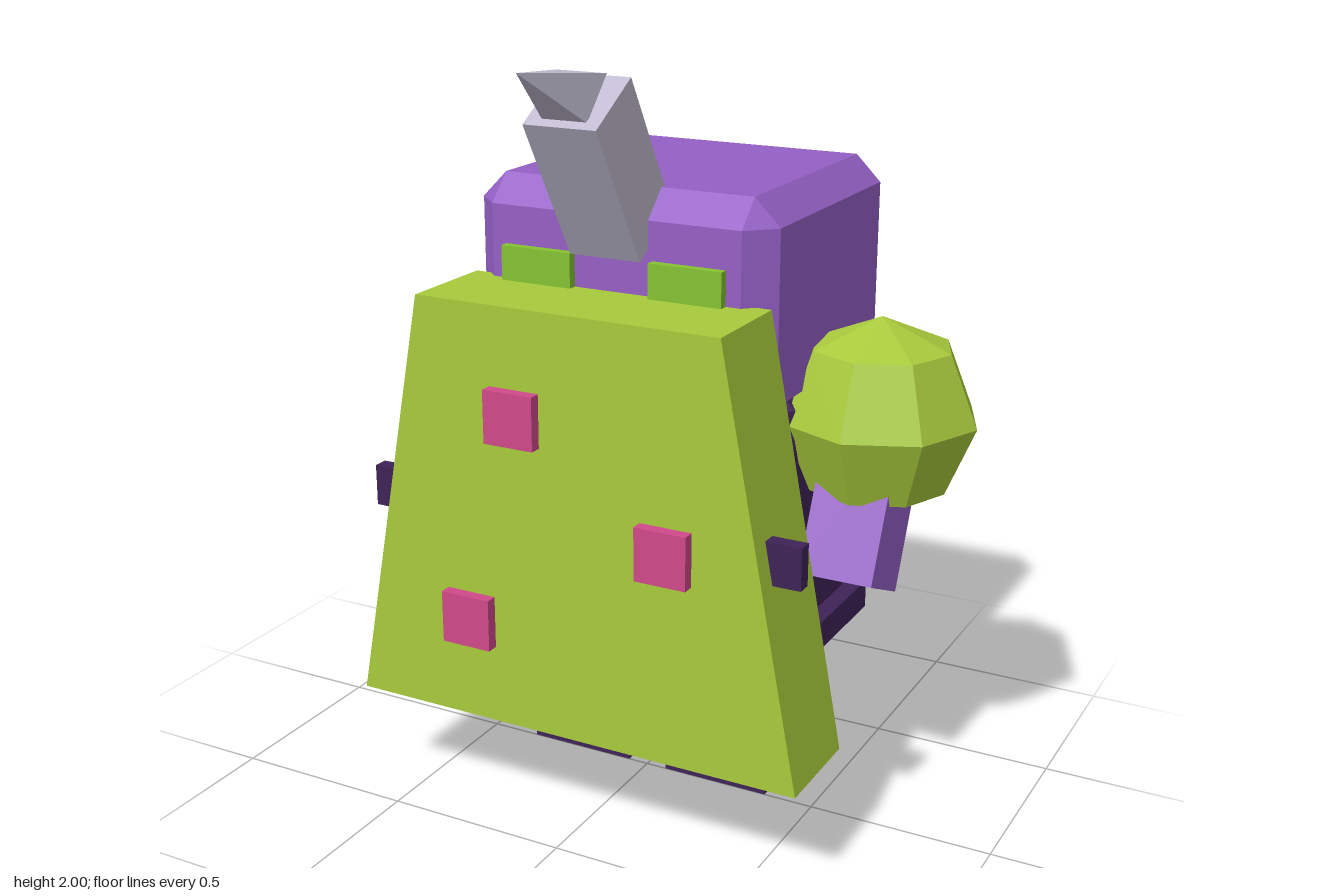
import * as THREE from 'three';

const flat = (name, color) => Object.assign(new THREE.MeshStandardMaterial({ color }), { name });

// Triangles from convex polygons, each turned to face away from the centre
function solid(polygons, centre) {
  const pos = [];
  const n = new THREE.Vector3(), e = new THREE.Vector3();
  for (let p of polygons) {
    n.subVectors(p[1], p[0]).cross(e.subVectors(p[2], p[0]));
    if (n.dot(e.subVectors(p[0], centre)) < 0) p = [...p].reverse();
    for (let i = 1; i < p.length - 1; i++)
      for (const v of [p[0], p[i], p[i + 1]]) pos.push(v.x, v.y, v.z);
  }
  const g = new THREE.BufferGeometry();
  g.setAttribute('position', new THREE.Float32BufferAttribute(pos, 3));
  g.computeVertexNormals();
  return g;
}

// Box with cut edges and corners; openBottom leaves out the underside
function chamferedBox(min, max, c, openBottom) {
  const lo = new THREE.Vector3(...min), hi = new THREE.Vector3(...max);
  const centre = lo.clone().add(hi).multiplyScalar(0.5);
  const half = hi.clone().sub(lo).multiplyScalar(0.5);
  // corner s (three signs), on the face across the given axis
  const at = (s, axis) => new THREE.Vector3(...[0, 1, 2].map(i =>
    centre.getComponent(i) + s[i] * (half.getComponent(i) - (i === axis ? 0 : c))));
  const polys = [];
  for (let a = 0; a < 3; a++) {
    const b = (a + 1) % 3, d = (a + 2) % 3;
    const sign = (x, y, z) => { const s = []; s[a] = x; s[b] = y; s[d] = z; return s; };
    for (const s of [-1, 1]) {
      if (!(openBottom && a === 1 && s < 0))
        polys.push([[-1, -1], [1, -1], [1, 1], [-1, 1]].map(([u, v]) => at(sign(s, u, v), a)));
      for (const t of [-1, 1]) {
        const sideBottom = (a === 0 && t < 0) && openBottom;
        if (!sideBottom) {
          const p = sign(s, t, -1), q = sign(s, t, 1);
          polys.push([at(p, a), at(q, a), at(q, b), at(p, b)]);
        }
        if (a === 0) for (const u of [-1, 1])
          polys.push([0, 1, 2].map(k => at([s, t, u], k)));
      }
    }
  }
  return solid(polys, centre);
}

// Rectangular frame, open up and down
function frame(w, h, d, wall) {
  const rect = (T, x, z) => new T().moveTo(-x, -z).lineTo(x, -z).lineTo(x, z).lineTo(-x, z).closePath();
  const shape = rect(THREE.Shape, w / 2, d / 2);
  shape.holes.push(rect(THREE.Path, w / 2 - wall, d / 2 - wall));
  return new THREE.ExtrudeGeometry(shape, { depth: h, bevelEnabled: false })
    .rotateX(-Math.PI / 2).translate(0, -h / 2, 0);
}

export function createModel() {
  const model = new THREE.Group();
  model.name = 'hornedFigure';
  const purple = flat('purple', 0x9560c6);
  const dark = flat('darkPurple', 0x3f2357);
  const lime = flat('lime', 0xa8ca3c);
  const limeShell = flat('limeShell', 0xa8ca3c);
  limeShell.side = THREE.DoubleSide;
  const green = flat('green', 0x86c232);
  const pink = flat('pink', 0xd04a8a);
  const grey = flat('grey', 0xc0bbd0);

  const add = (name, geometry, material, x = 0, y = 0, z = 0) => {
    const m = new THREE.Mesh(geometry, material);
    m.name = name;
    m.position.set(x, y, z);
    model.add(m);
    return m;
  };
  // Box given by its x, y and z ranges
  const box = (name, material, [x0, x1], [y0, y1], [z0, z1]) =>
    add(name, new THREE.BoxGeometry(x1 - x0, y1 - y0, z1 - z0), material,
      (x0 + x1) / 2, (y0 + y1) / 2, (z0 + z1) / 2);

  // Head, torso and hem
  add('head', chamferedBox([-0.42, 1.08, -0.61], [0.42, 1.67, 0.18], 0.07, true), purple);
  add('torso', chamferedBox([-0.41, 0.41, -0.465], [0.41, 1.17, 0.04], 0.07, false), dark);
  add('hem', frame(0.9, 0.08, 0.53, 0.08), dark, 0, 0.43, -0.213);

  // Horn: leaning block with a pointed tip
  add('hornBase', new THREE.BoxGeometry(0.196, 0.408, 0.196), grey, 0, 1.73, 0.2425)
    .rotation.x = 0.54;
  const v = (x, y, z) => new THREE.Vector3(x, y, z);
  const tip = v(0, 2, 0.61);
  const base = [v(-0.068, 1.97, 0.325), v(0.068, 1.97, 0.325), v(0.06, 1.865, 0.405), v(-0.06, 1.865, 0.405)];
  add('hornTip', solid([base, ...base.map((p, i) => [p, base[(i + 1) % 4], tip])], v(0, 1.93, 0.42)), grey);

  // Limbs and paired shield fittings
  for (const s of [-1, 1]) {
    const side = s > 0 ? 'left' : 'right';
    const span = (a, b) => s > 0 ? [a, b] : [-b, -a];
    add(side + 'Shoulder', new THREE.SphereGeometry(0.265, 8, 3, 0, Math.PI * 2, 0, Math.PI * 0.75)
      .toNonIndexed(), limeShell, s * 0.565, 1.06, -0.215).geometry.computeVertexNormals();
    add(side + 'Arm', new THREE.BoxGeometry(0.2, 0.44, 0.196), purple, s * 0.56, 0.852, -0.138)
      .rotation.x = -0.42 + Math.PI;
    box(side + 'Leg', purple, span(0.07, 0.35), [0.16, 0.45], [-0.34, -0.09]);
    add(side + 'Shoe', frame(0.305, 0.14, 0.34, 0.07), dark, s * 0.21, 0.07, -0.17);
    box(side + 'ShoeTop', dark, span(0.12, 0.3), [0.09, 0.139], [-0.28, -0.06]);
    box(side + 'ShieldTab', green, span(0.11, 0.31), [1.4, 1.5], [0.158, 0.205]);
    box(side + 'ShieldPeg', dark, span(0.5, 0.61), [0.8, 0.91], [0.335, 0.375]);
  }

  // Shield: tapered slab
  const slab = new THREE.Shape()
    .moveTo(-0.635, 0.285).lineTo(0.635, 0.285).lineTo(0.42, 1.41).lineTo(-0.42, 1.41).closePath();
  add('shield', new THREE.ExtrudeGeometry(slab, { depth: 0.28, bevelEnabled: false }), lime, 0, 0, 0.153);

  // Studs on the shield
  for (const [x, y] of [[-0.14, 1.133], [0.28, 0.85], [-0.282, 0.567]])
    box('shieldStud', pink, [x - 0.07, x + 0.07], [y - 0.07, y + 0.07], [0.425, 0.465]);

  return model;
}
